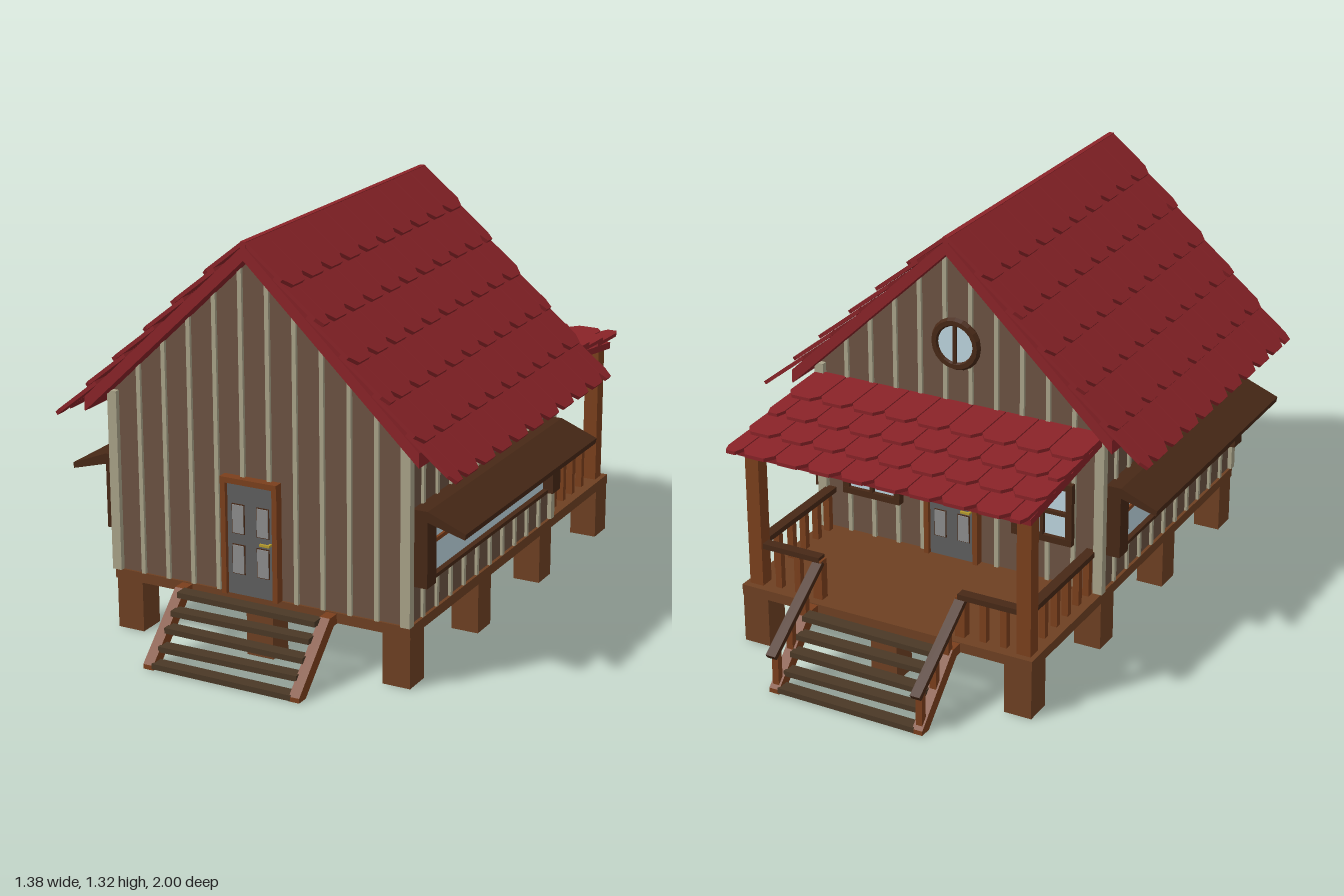
import * as THREE from 'three';
import { mergeGeometries } from 'three/addons/utils/BufferGeometryUtils.js';

const mat = (color, extra = {}) => new THREE.MeshStandardMaterial({ color, flatShading: true, ...extra });
const M = {
  wall: mat(0x6b5242), batten: mat(0xa8a288), roof: mat(0x8a2328), wood: mat(0x6e4022),
  frame: mat(0x7a3f1c), dark: mat(0x472816), tread: mat(0x4a3826), door: mat(0x5e5e5e),
  panel: mat(0x8c8c8c), glass: mat(0xbcd4de), brass: mat(0xb59a2c),
};
const FRONT = 0.76, BACK = -0.27, HALF = 0.505, FLOOR = 0.2;
const APEX = 1.265, SLOPE = 0.95;                  // underside of the main roof
const roofY = (x) => APEX - SLOPE * Math.abs(x);

function add(parent, name, geometry, material) {
  const mesh = new THREE.Mesh(geometry, material);
  mesh.name = name;
  parent.add(mesh);
  return mesh;
}

// Box given by its extents on each axis
function box(parent, name, [x0, x1], [y0, y1], [z0, z1], material) {
  const m = add(parent, name, new THREE.BoxGeometry(x1 - x0, y1 - y0, z1 - z0), material);
  m.position.set((x0 + x1) / 2, (y0 + y1) / 2, (z0 + z1) / 2);
  return m;
}

// Square timber between two points
function beam(parent, name, a, b, w, h, material) {
  const p = new THREE.Vector3(...a), q = new THREE.Vector3(...b);
  const m = new THREE.Mesh(new THREE.BoxGeometry(w, h, p.distanceTo(q)), material);
  m.name = name;
  m.position.copy(p).add(q).multiplyScalar(0.5);
  m.lookAt(q);
  parent.add(m);
  return m;
}

function extrude(points, depth) {
  const shape = new THREE.Shape(points.map(([x, y]) => new THREE.Vector2(x, y)));
  return new THREE.ExtrudeGeometry(shape, { depth, bevelEnabled: false });
}

// Overlapping shingles with clipped lower corners; slope runs down -y, faces +z
function shingles(width, columns, rowEnds, length) {
  const w = width / columns, parts = [];
  rowEnds.forEach((end, row) => {
    const odd = row % 2, n = columns + odd;
    const len = Math.min(length, end);
    for (let i = 0; i < n; i++) {
      let x0 = -width / 2 + (i - odd / 2) * w, x1 = x0 + w;
      x0 = Math.max(x0, -width / 2) + 0.002;
      x1 = Math.min(x1, width / 2) - 0.002;
      const c = (x1 - x0) * 0.2;
      const g = extrude([[x0, 0], [x0, -len + 0.03], [x0 + c, -len], [x1 - c, -len], [x1, -len + 0.03], [x1, 0]], 0.012);
      g.rotateX(-0.09);
      g.translate(0, len - end, 0);
      parts.push(g);
    }
  });
  return mergeGeometries(parts);
}

function placeSlope(mesh, pitch, yaw, x, y, z) {
  mesh.rotation.set(pitch - Math.PI / 2, yaw, 0, 'YXZ');
  mesh.position.set(x, y, z);
}

// Panelled door facing +z, standing on the floor at z = 0
function door() {
  const g = new THREE.Group();
  g.name = 'door';
  box(g, 'doorLeaf', [-0.1, 0.065], [FLOOR, 0.565], [-0.01, 0.014], M.door);
  box(g, 'doorJamb', [-0.115, -0.098], [FLOOR, 0.575], [-0.01, 0.028], M.frame);
  box(g, 'doorJamb', [0.063, 0.08], [FLOOR, 0.575], [-0.01, 0.028], M.frame);
  box(g, 'doorHead', [-0.115, 0.08], [0.56, 0.578], [-0.01, 0.03], M.frame);
  for (const x of [-0.06, 0.025]) for (const y of [0.315, 0.445]) {
    box(g, 'doorPanelRim', [x - 0.022, x + 0.022], [y - 0.048, y + 0.048], [0, 0.016], M.dark);
    box(g, 'doorPanel', [x - 0.019, x + 0.019], [y - 0.045, y + 0.045], [0, 0.019], M.panel);
  }
  box(g, 'doorHandle', [0.022, 0.056], [0.377, 0.384], [0.026, 0.034], M.brass);
  box(g, 'handleStem', [0.048, 0.055], [0.377, 0.384], [0.01, 0.03], M.brass);
  return g;
}

// Open stairs descending towards +z from z = 0
function stairs() {
  const g = new THREE.Group();
  g.name = 'stairs';
  const side = extrude([[0, 0.165], [0.02, 0.165], [0.195, 0], [0.235, 0], [0.235, 0.015], [0.045, 0.197], [0, 0.197]], 0.035);
  side.rotateY(-Math.PI / 2);
  for (const x of [-0.235, 0.27]) add(g, 'stairStringer', side, M.frame).position.x = x;
  for (let i = 0; i < 5; i++) {
    const y = 0.188 - i * 0.044, z = 0.062 + i * 0.038;
    const t = box(g, 'stairTread', [-0.24, 0.24], [y - 0.009, y + 0.009], [z - 0.022, z + 0.022], M.tread);
    t.rotation.z = (i % 2 ? 1 : -1) * 0.006;
  }
  return g;
}

// Long side window with hood, facing +x
function sideWindow() {
  const g = new THREE.Group();
  g.name = 'sideWindow';
  box(g, 'windowGlass', [0.5, 0.522], [0.325, 0.51], [-0.18, 0.68], M.glass);
  box(g, 'windowBar', [0.515, 0.53], [0.425, 0.438], [-0.18, 0.68], M.frame);
  box(g, 'windowSill', [0.5, 0.54], [0.32, 0.332], [-0.24, 0.735], M.dark);
  for (const z of [-0.24, 0.675]) box(g, 'windowPost', [0.5, 0.557], [0.32, 0.56], [z, z + 0.06], M.dark);
  box(g, 'windowHead', [0.5, 0.545], [0.5, 0.56], [-0.24, 0.735], M.dark);
  const hood = extrude([[0.515, 0.562], [0.515, 0.54], [0.677, 0.495], [0.68, 0.513], [0.557, 0.562]], 0.975);
  add(g, 'windowHood', hood, M.dark).position.z = -0.24;
  return g;
}

// Back wall window with four panes
function paneWindow(x) {
  const g = new THREE.Group();
  g.name = 'backWindow';
  const z = BACK;
  box(g, 'paneGlass', [x - 0.095, x + 0.095], [0.36, 0.55], [z - 0.012, z + 0.01], M.glass);
  for (const s of [-1, 0, 1]) {
    const t = s ? 0.011 : 0.006;
    box(g, 'paneBar', [x + s * 0.095 - t, x + s * 0.095 + t], [0.35, 0.56], [z - 0.026, z], M.dark);
    box(g, 'paneBar', [x - 0.106, x + 0.106], [0.455 + s * 0.095 - t, 0.455 + s * 0.095 + t], [z - 0.027, z], M.dark);
  }
  return g;
}

export function createModel() {
  const house = new THREE.Group();
  house.name = 'cabin';

  // Piers and floor
  for (const x of [-0.467, 0, 0.467]) for (const z of [0.71, 0.24, -0.23, -0.705])
    box(house, 'pier', [x - 0.046, x + 0.046], [0, 0.17], [z - 0.046, z + 0.046], M.wood);
  box(house, 'floor', [-0.515, 0.515], [0.167, FLOOR], [-0.752, 0.762], M.wood);

  // Gabled walls
  const walls = extrude([[-HALF, FLOOR], [HALF, FLOOR], [HALF, roofY(HALF)], [0, APEX], [-HALF, roofY(HALF)]], FRONT - BACK - 0.01);
  add(house, 'walls', walls, M.wall).position.z = BACK + 0.005;

  // Battens on gables, sides and corners
  for (let i = 0; i < 10; i++) {
    const x = -0.41 + i * 0.0905;
    for (const z of [FRONT - 0.003, BACK + 0.003])
      box(house, 'gableBatten', [x - 0.007, x + 0.007], [FLOOR, roofY(x) + 0.01], [z - 0.008, z + 0.008], M.batten);
  }
  for (const s of [-1, 1]) {
    for (let i = 1; i < 11; i++) {
      const z = BACK + i * (FRONT - BACK) / 11;
      box(house, 'sideBatten', [s * HALF - 0.009, s * HALF + 0.009], [FLOOR, 0.79], [z - 0.007, z + 0.007], M.batten);
    }
    for (const z of [FRONT, BACK])
      box(house, 'cornerBoard', [s * 0.503 - 0.016, s * 0.503 + 0.016], [FLOOR, 0.785], [z - 0.015, z + 0.012], M.batten);
  }

  // Main roof
  const board = extrude([[0, APEX], [0.57, roofY(0.57)], [0.57, roofY(0.57) + 0.046], [0, APEX + 0.046],
    [-0.57, roofY(0.57) + 0.046], [-0.57, roofY(0.57)]], 1.16);
  add(house, 'roofBoards', board, M.roof).position.z = -0.34;
  const pitch = Math.atan(SLOPE);
  const rows = [0, 1, 2, 3, 4, 5].map((i) => 0.185 + i * 0.1475);
  const mainTiles = shingles(1.16, 10, rows, 0.2);
  for (const s of [-1, 1])
    placeSlope(add(house, 'roofShingles', mainTiles, M.roof), pitch, s * Math.PI / 2, 0, APEX + 0.047, 0.24);
  box(house, 'roofRidge', [-0.009, 0.009], [1.295, 1.322], [-0.34, 0.82], M.roof);

  // Porch roof
  beam(house, 'porchRoofBoard', [0, 0.727, BACK], [0, 0.665, -0.755], 1.02, 0.022, M.roof);
  const porchTiles = shingles(1.04, 9, [0.19, 0.31, 0.43, 0.55], 0.19);
  placeSlope(add(house, 'porchShingles', porchTiles, M.roof), 0.128, Math.PI, 0, 0.741, BACK);

  // Doors, windows and stairs
  const frontDoor = door();
  frontDoor.position.z = FRONT - 0.003;
  const backDoor = door();
  backDoor.rotation.y = Math.PI;
  backDoor.position.z = BACK + 0.003;
  const left = sideWindow(), right = sideWindow();
  right.rotation.y = Math.PI;
  right.position.z = 0.495;
  const frontStairs = stairs(), backStairs = stairs();
  frontStairs.position.z = 0.76;
  backStairs.rotation.y = Math.PI;
  backStairs.position.z = -0.752;
  house.add(frontDoor, backDoor, left, right, frontStairs, backStairs, paneWindow(-0.31), paneWindow(0.31));

  // Round gable window
  add(house, 'roundWindowFrame', new THREE.TorusGeometry(0.073, 0.015, 6, 20), M.dark).position.set(0, 0.95, BACK - 0.008);
  const disc = add(house, 'roundWindowGlass', new THREE.CylinderGeometry(0.073, 0.073, 0.02, 20), M.glass);
  disc.rotation.x = Math.PI / 2;
  disc.position.set(0, 0.95, BACK - 0.003);
  box(house, 'roundWindowBar', [-0.006, 0.006], [0.88, 1.02], [BACK - 0.02, BACK], M.dark);

  // Porch posts and railings
  const baluster = (x, z, y0, y1) => box(house, 'baluster', [x - 0.011, x + 0.011], [y0, y1], [z - 0.011, z + 0.011], M.frame);
  for (const s of [-1, 1]) {
    const x = s * 0.475;
    box(house, 'porchPost', [x - 0.024, x + 0.024], [FLOOR, 0.68], [-0.73, -0.682], M.frame);
    beam(house, 'sideRail', [x, 0.337, BACK], [x, 0.337, -0.7], 0.034, 0.018, M.dark);
    for (const z of [-0.3, -0.37, -0.445, -0.52, -0.6]) baluster(x, z, FLOOR, 0.335);
    beam(house, 'backRail', [x, 0.337, -0.706], [s * 0.245, 0.337, -0.706], 0.034, 0.018, M.dark);
    for (const k of [0.4, 0.33]) baluster(s * k, -0.706, FLOOR, 0.335);
    const r = s * 0.253;
    box(house, 'newelPost', [r - 0.016, r + 0.016], [FLOOR, 0.335], [-0.722, -0.69], M.frame);
    beam(house, 'stairRail', [r, 0.325, -0.71], [r, 0.13, -0.995], 0.034, 0.018, M.dark);
    for (const [z, y0, y1] of [[-0.8, 0.17, 0.265], [-0.88, 0.09, 0.21], [-0.965, 0.0, 0.152]]) baluster(r, z, y0, y1);
  }
  return house;
}
